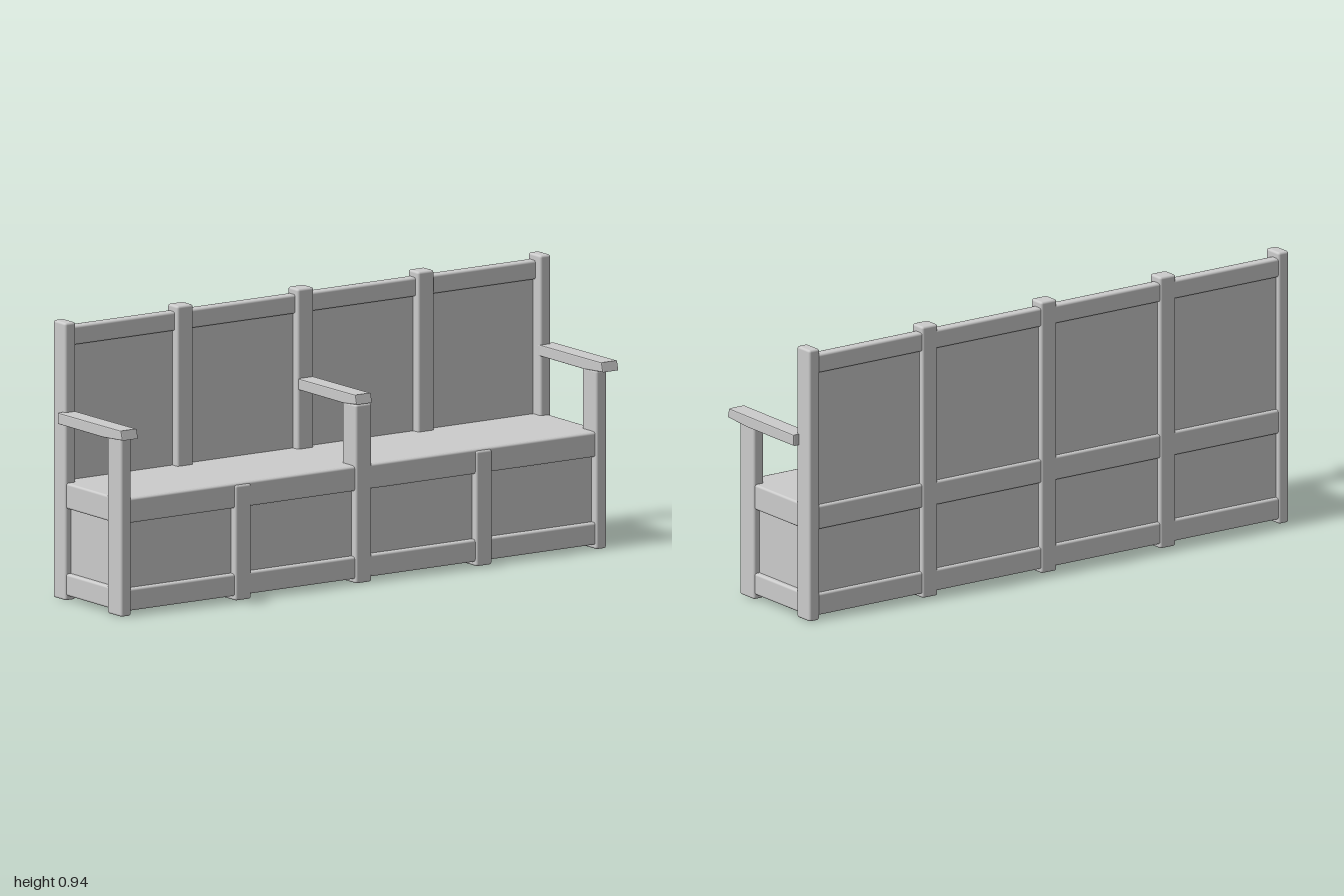
import * as THREE from 'three';
import { RoundedBoxGeometry } from 'three/addons/geometries/RoundedBoxGeometry.js';

const material = new THREE.MeshStandardMaterial({ color: 0xcccccc });

export function createModel() {
  const bench = new THREE.Group();
  bench.name = 'bench';

  // Softly rounded block given by its limits on each axis
  function block(name, x0, x1, y0, y1, z0, z1, radius = 0.008) {
    const w = x1 - x0, h = y1 - y0, d = z1 - z0;
    const r = Math.min(radius, w * 0.4, h * 0.4, d * 0.4);
    const mesh = new THREE.Mesh(new RoundedBoxGeometry(w, h, d, 2, r), material);
    mesh.position.set((x0 + x1) / 2, (y0 + y1) / 2, (z0 + z1) / 2);
    mesh.name = name;
    bench.add(mesh);
    return mesh;
  }

  // Armrest: side profile with a slanted nose, extruded across x
  function armrest(x0, x1, noseZ) {
    const profile = new THREE.Shape();
    profile.moveTo(-0.16, 0.598);
    profile.lineTo(0.10, 0.598);
    profile.lineTo(noseZ, 0.606);
    profile.lineTo(noseZ - 0.008, 0.638);
    profile.lineTo(-0.16, 0.636);
    const bevel = 0.004;
    const geometry = new THREE.ExtrudeGeometry(profile, {
      depth: x1 - x0 - 2 * bevel, bevelSize: bevel, bevelThickness: bevel,
      bevelOffset: -bevel, bevelSegments: 2,
    });
    geometry.rotateY(-Math.PI / 2); // profile x becomes z, depth becomes -x
    geometry.translate(x1 - bevel, 0, 0);
    const mesh = new THREE.Mesh(geometry, material);
    mesh.name = 'armrest';
    bench.add(mesh);
  }

  // Back posts and front stiles
  const posts = [-0.957, -0.485, 0, 0.485, 0.957];
  posts.forEach((x, i) => {
    const end = i === 0 || i === 4;
    const hw = end ? 0.021 : 0.032;
    block('backPost', x - hw, x + hw, 0, 0.938, -0.22, end ? -0.147 : -0.16);
    const tall = end || i === 2;
    block('frontPost', x - hw, x + hw, 0, tall ? 0.605 : 0.39, 0.095, 0.177);
  });

  // Armrests at both ends and in the middle
  armrest(-1, -0.935, 0.215);
  armrest(-0.032, 0.032, 0.18);
  armrest(0.935, 1, 0.215);

  // Horizontal rails along the front and the back
  block('frontBottomRail', -0.955, 0.955, 0.015, 0.09, 0.13, 0.17);
  block('frontSeatRail', -0.955, 0.955, 0.312, 0.396, 0.13, 0.17);
  block('backBottomRail', -0.955, 0.955, 0.015, 0.09, -0.216, -0.165);
  block('backSeatRail', -0.955, 0.955, 0.312, 0.394, -0.216, -0.165);
  block('backTopRail', -0.955, 0.955, 0.853, 0.917, -0.216, -0.177);

  // Recessed panels, seat and floor
  block('frontPanel', -0.955, 0.955, 0.03, 0.38, 0.135, 0.15, 0.002);
  block('lowerBackPanel', -0.955, 0.955, 0.03, 0.38, -0.203, -0.19, 0.002);
  block('upperBackPanel', -0.955, 0.955, 0.38, 0.88, -0.203, -0.19, 0.002);
  block('seat', -0.955, 0.955, 0.375, 0.397, -0.195, 0.165, 0.006);
  block('floor', -0.955, 0.955, 0.018, 0.03, -0.205, 0.16, 0.003);

  // Framed ends below the armrests
  for (const side of [-1, 1]) {
    const span = (inner, outer) => (side > 0 ? [inner, outer] : [-outer, -inner]);
    block('endBottomRail', ...span(0.938, 0.973), 0.016, 0.09, -0.16, 0.11);
    block('endSeatRail', ...span(0.938, 0.973), 0.31, 0.397, -0.16, 0.11);
    block('endPanel', ...span(0.943, 0.955), 0.03, 0.38, -0.16, 0.11, 0.002);
  }

  return bench;
}
